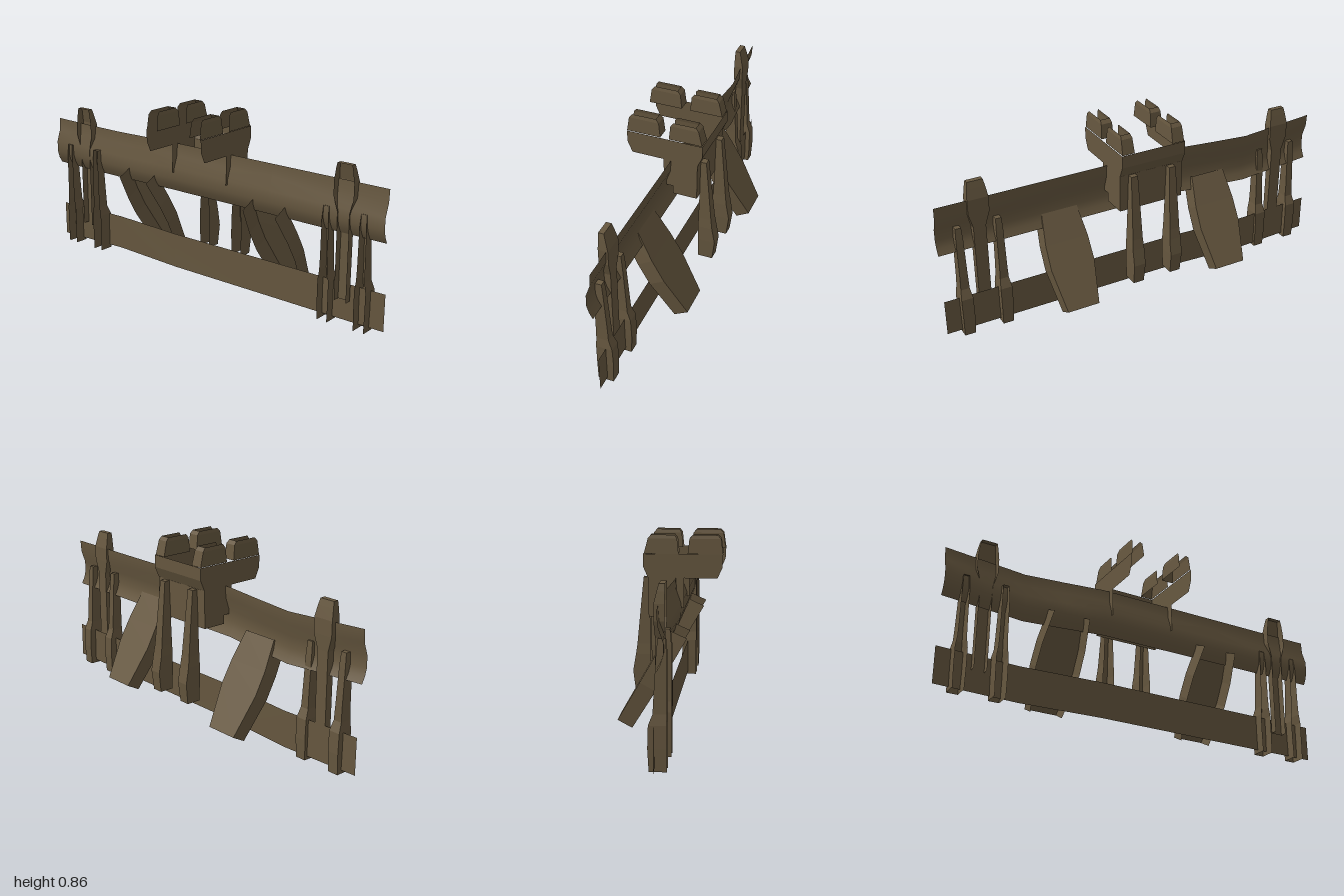
import * as THREE from 'three';

const wood = new THREE.MeshStandardMaterial({ color: 0x66573f, side: THREE.DoubleSide });
wood.name = 'weathered wood';

// Builds a surface from open cross-sections, each a list of [x, y, z]
function loft(name, rows, smooth, cap) {
  const pos = [], index = [], n = rows[0].length;
  rows.forEach(r => r.forEach(p => pos.push(...p)));
  for (let i = 0; i < rows.length - 1; i++) {
    for (let j = 0; j < n - 1; j++) {
      const a = i * n + j, b = a + 1, c = a + n, d = c + 1;
      index.push(a, c, b, b, c, d);
    }
  }
  if (cap) index.push(0, 3, 1, 1, 3, 2);
  let g = new THREE.BufferGeometry();
  g.setAttribute('position', new THREE.Float32BufferAttribute(pos, 3));
  g.setIndex(index);
  if (!smooth) g = g.toNonIndexed();
  g.computeVertexNormals();
  const mesh = new THREE.Mesh(g, wood);
  mesh.name = name;
  return mesh;
}

// U-shaped timber, open to the front, from the top down.
// Each station: [half width, back y, back z, front y, front z]
function channel(name, x, stations, cap = true, dz = 0) {
  const rows = stations.map(([w, yb, zb, yf, zf]) => [
    [x - w, yf, zf + dz], [x - w, yb, zb + dz], [x + w, yb, zb + dz], [x + w, yf, zf + dz],
  ]);
  return loft(name, rows, false, cap);
}

// Station with a level cross-section
const level = (w, y, zb, zf) => [w, y, zb, y, zf];

// Thin rail: profile points are [y, z], keys along it are [x, z, y shift]
function rail(name, profile, keys) {
  const rows = keys.map(([x, z, dy]) => profile.map(([py, pz]) => [x, py + dy, pz + z]));
  return loft(name, rows, true, false);
}

export function createModel() {
  const model = new THREE.Group();
  model.name = 'timberFence';

  // Long rails, the upper one bowed forward
  model.add(rail('upperRail',
    [[0.43, 0], [0.46, 0.016], [0.495, 0.026], [0.55, 0.025], [0.61, 0.004], [0.67, 0]],
    [[-1, 0.01, 0], [-0.8, -0.003, -0.008], [-0.6, -0.018, -0.015], [-0.4, -0.006, -0.008],
      [-0.2, 0.008, 0], [0.4, 0.008, 0], [1, 0.008, 0]]));
  model.add(rail('lowerRail', [[0.02, 0], [0.195, 0]],
    [[-1, -0.004, 0], [-0.6, -0.026, 0], [-0.2, -0.003, 0], [1, -0.003, 0]]));

  for (const s of [-1, 1]) {
    // Paired end posts
    for (const x of [0.71, 0.9]) {
      model.add(channel('endPost', s * x, [
        level(0.014, 0.545, 0.005, 0.036), level(0.017, 0.48, -0.001, 0.042),
        level(0.019, 0.3, -0.012, 0.042), level(0.021, 0.24, -0.015, 0.042),
        level(0.028, 0.195, -0.033, 0.042), level(0.028, 0.1, -0.036, 0.042),
        level(0.026, 0.003, -0.031, 0.042),
      ]));
    }

    // Middle post with a wide head and a narrow shaft
    model.add(channel('middlePost', s * 0.8, [
      level(0.037, 0.75, 0.02, 0.045), level(0.043, 0.72, 0.012, 0.045),
      level(0.05, 0.67, 0.0, 0.045), level(0.05, 0.6, 0.0, 0.045),
      level(0.03, 0.53, 0.004, 0.04), level(0.03, 0.12, 0.006, 0.04),
    ], true, s < 0 ? -0.018 : 0));

    // Broad sloping brace behind the rails, its sides reaching through
    model.add(channel('brace', s * 0.4, [
      [0.09, 0.49, 0.032, 0.455, 0.108],
      [0.108, 0.36, -0.04, 0.32, 0.03],
      [0.11, 0.26, -0.097, 0.222, -0.027],
      [0.08, 0.08, -0.2, 0.045, -0.135],
    ], false, s < 0 ? -0.022 : 0));

    // Rear prop
    model.add(channel('rearProp', s * 0.1, [
      level(0.017, 0.665, -0.147, -0.12), level(0.022, 0.49, -0.164, -0.117),
      level(0.026, 0.35, -0.177, -0.114), level(0.03, 0.3, -0.184, -0.114),
      level(0.03, 0.22, -0.198, -0.114), level(0.027, 0.12, -0.186, -0.114),
    ]));

    // Front and back prongs of the bracket
    model.add(channel('frontProng', s * 0.13 - 0.004, [
      level(0.024, 0.867, 0.085, 0.2), level(0.028, 0.85, 0.07, 0.215),
      level(0.031, 0.78, 0.062, 0.225),
    ], false));
    model.add(channel('backProng', s * 0.13 - 0.004, [
      level(0.024, 0.867, -0.108, 0.0), level(0.028, 0.85, -0.122, 0.013),
      level(0.031, 0.78, -0.14, 0.02),
    ], false));
  }

  // Central bracket: back plate with side plates reaching forward
  model.add(channel('bracketBody', -0.004, [
    level(0.165, 0.78, -0.143, 0.225), level(0.165, 0.72, -0.143, 0.222),
    level(0.165, 0.67, -0.121, 0.2), level(0.165, 0.669, -0.12, 0.045),
    level(0.165, 0.53, -0.118, 0.045), level(0.165, 0.529, -0.118, 0.0),
    level(0.165, 0.487, -0.118, 0.0),
  ], false));

  return model;
}
